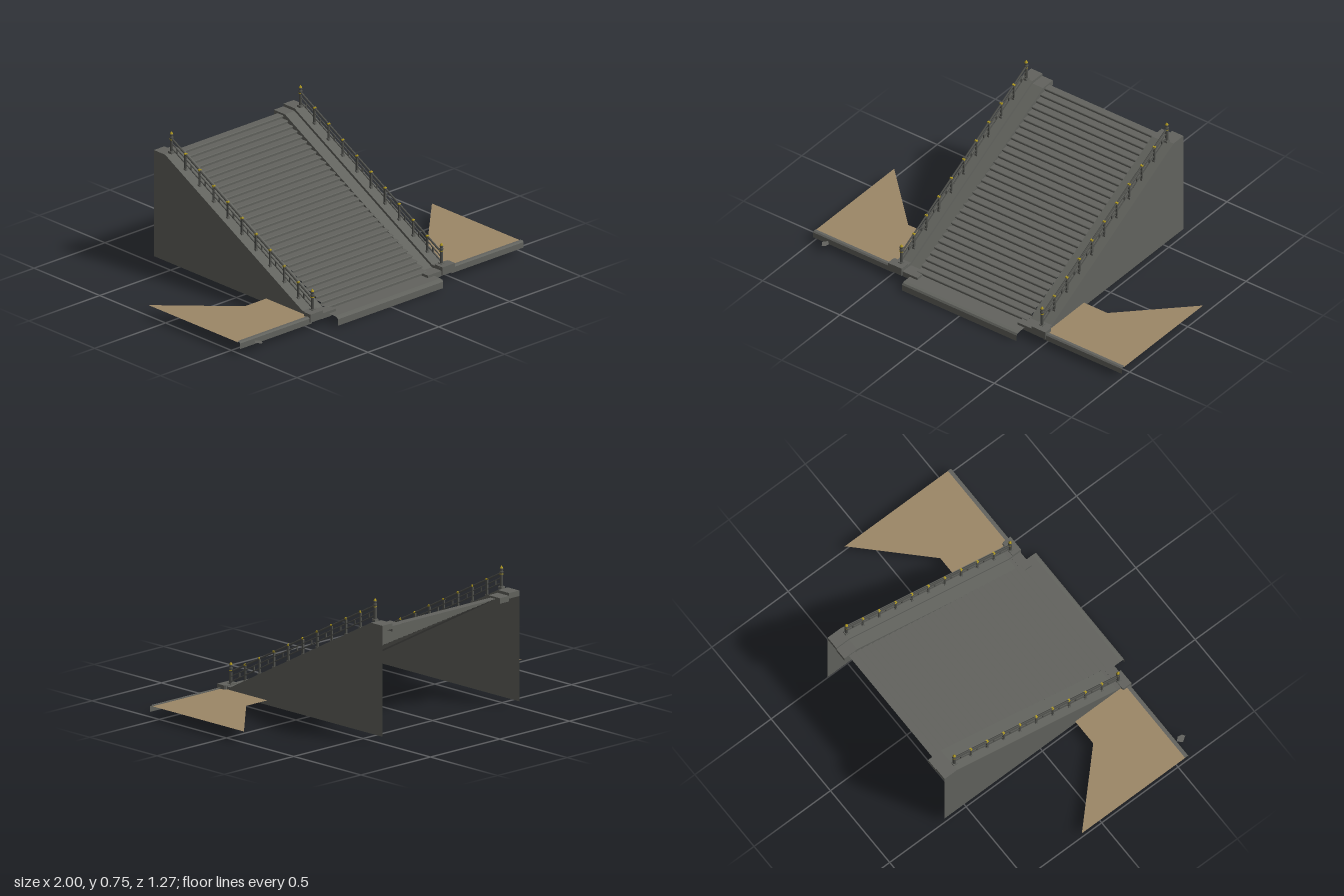
import * as THREE from 'three';

const D = THREE.DoubleSide;
const mat = (name, color, side = D) => {
  const m = new THREE.MeshStandardMaterial({ color, side });
  m.name = name;
  return m;
};

export function createModel() {
  const stone = mat('stone', 0x62635e);
  const darkMetal = mat('dark metal', 0x50514d);
  const earth = mat('earth', 0x9c8767);
  const gold = mat('gold', 0xb39c22);
  const root = new THREE.Group();
  root.name = 'staircase';

  const add = (parent, name, geo, material, x = 0, y = 0, z = 0) => {
    const m = new THREE.Mesh(geo, material);
    m.name = name;
    m.position.set(x, y, z);
    parent.add(m);
    return m;
  };
  const box = (w, h, d) => new THREE.BoxGeometry(w, h, d);
  const shapeOf = pts => new THREE.Shape(pts.map(p => new THREE.Vector2(...p)));

  // Solid with a (z, y) profile running from x0 to x1
  const prism = (pts, x0, x1) =>
    new THREE.ExtrudeGeometry(shapeOf(pts), { depth: x1 - x0, bevelEnabled: false })
      .rotateY(-Math.PI / 2).translate(x1, 0, 0);

  // Open folded sheet along a (z, y) profile running from x0 to x1
  const sheet = (pts, x0, x1) => {
    const v = [];
    for (let i = 0; i + 1 < pts.length; i++) {
      const [za, ya] = pts[i], [zb, yb] = pts[i + 1];
      v.push(x0, ya, za, x1, yb, zb, x1, ya, za, x0, ya, za, x0, yb, zb, x1, yb, zb);
    }
    const g = new THREE.BufferGeometry();
    g.setAttribute('position', new THREE.Float32BufferAttribute(v, 3));
    g.computeVertexNormals();
    return g;
  };

  // Treads and risers with a small overhanging nose
  const N = 31, z0 = 0.52, z1 = -0.605, y0 = 0.048, y1 = 0.605;
  const run = (z0 - z1) / N, rise = (y1 - y0) / N;
  const steps = [];
  for (let i = N - 1; i >= 0; i--) {
    const zf = z0 - i * run, yt = y0 + (i + 1) * rise;
    steps.push([zf - run, yt], [zf + 0.003, yt], [zf + 0.006, yt - 0.003],
      [zf + 0.006, yt - 0.008], [zf, yt - 0.009], [zf, yt - rise]);
  }
  add(root, 'steps', sheet(steps, -0.357, 0.357), stone);

  // Rounded slab in front of the first step
  add(root, 'frontSlab', sheet([[0.51, 0.048], [0.612, 0.048], [0.628, 0.045],
    [0.635, 0.036], [0.635, 0]], -0.373, 0.37), stone);

  // Height of the side coping at depth z
  const slope = 0.555 / 1.045;
  const coping = z => 0.075 + (0.495 - z) * slope;
  const band = (dy, t, zf) => [[zf, 0.075 + dy], [0.495, 0.075 + dy], [-0.55, 0.63 + dy],
    [-0.635, 0.63 + dy], [-0.635, 0.63 + dy - t], [-0.55, 0.63 + dy - t],
    [0.495, 0.075 + dy - t], [zf, 0.075 + dy - t]];

  const tube = (ya, za, yb, zb, r) => new THREE.TubeGeometry(
    new THREE.LineCurve3(new THREE.Vector3(0, ya, za), new THREE.Vector3(0, yb, zb)), 1, r, 6);
  const lathe = pts => new THREE.LatheGeometry(pts.map(p => new THREE.Vector2(...p)), 10);

  // One side of the stairs; the other is mirrored
  const makeSide = () => {
    const side = new THREE.Group();
    const wall = [[0.572, 0.035], [0.572, 0.075], [0.495, 0.075], [-0.55, 0.63],
      [-0.635, 0.63], [-0.635, 0.035]];
    add(side, 'sideWall', new THREE.ShapeGeometry(shapeOf(wall)).rotateY(-Math.PI / 2), stone, 0.493);
    add(side, 'outerCoping', prism(band(0, 0.03, 0.572), 0.42, 0.493), stone);
    add(side, 'innerCoping', prism(band(-0.015, 0.03, 0.565), 0.353, 0.42), stone);
    add(side, 'outerFoot', box(0.085, 0.045, 0.055), stone, 0.463, 0.06, 0.547);
    add(side, 'footBlock', box(0.04, 0.045, 0.05), stone, 0.49, 0.06, 0.55);
    add(side, 'innerFoot', box(0.095, 0.028, 0.055), stone, 0.372, 0.048, 0.54);

    // Railing
    const rail = new THREE.Group();
    rail.name = 'railing';
    rail.position.x = 0.455;
    side.add(rail);
    const za = 0.53, zb = -0.542;
    [[0.088, 0.0055], [0.062, 0.0035], [0.035, 0.0035]].forEach(([h, r], i) =>
      add(rail, ['handRail', 'middleRail', 'lowerRail'][i],
        tube(coping(za) + h, za, coping(zb) + h, zb, r), darkMetal));

    // End posts with gold finials
    [[za, 0.075], [zb, 0.63]].forEach(([z, y]) => {
      add(rail, 'endPostBase', box(0.024, 0.012, 0.024), stone, 0, y + 0.006, z);
      add(rail, 'endPost', lathe([[0.009, 0], [0.009, 0.085], [0.011, 0.087], [0.011, 0.092],
        [0.007, 0.095], [0.007, 0.099], [0.01, 0.104], [0.008, 0.11], [0, 0.112]]), darkMetal, 0, y, z);
      add(rail, 'finial', lathe([[0.0085, 0.106], [0.0085, 0.111], [0.005, 0.117], [0, 0.124]]), gold, 0, y, z);
      add(rail, 'postBand', lathe([[0.0095, 0.076], [0.0095, 0.081]]), gold, 0, y, z);
    });

    // Slim posts with gold collars, and short struts between the lower rails
    const gap = (za - zb) / 10;
    for (let i = 0; i < 10; i++) {
      const z = za - i * gap;
      if (i > 0) {
        const y = coping(z);
        add(rail, 'post', box(0.01, 0.095, 0.01), darkMetal, 0, y + 0.042, z);
        add(rail, 'postFoot', box(0.016, 0.012, 0.014), stone, 0, y + 0.003, z);
        add(rail, 'collar', box(0.013, 0.008, 0.013), gold, 0, y + 0.09, z);
      }
      const zs = z - gap * 0.6;
      add(rail, 'strut', box(0.006, 0.027, 0.006), darkMetal, 0, coping(zs) + 0.0485, zs);
    }

    // Ground plate and its kerb
    const plot = [[0.493, -0.22], [0.645, -0.22], [1, 0.13], [1, -0.55], [0.493, -0.55]];
    add(side, 'groundPlate', new THREE.ShapeGeometry(shapeOf(plot)).rotateX(-Math.PI / 2), earth, 0, 0.06, 0);
    add(side, 'kerb', sheet([[0.545, 0.065], [0.56, 0.065], [0.567, 0.058], [0.567, 0.027]], 0.493, 1), stone);
    return side;
  };
  const left = makeSide(), right = makeSide();
  left.name = 'leftSide';
  right.name = 'rightSide';
  right.scale.x = -1;
  root.add(left, right);

  // Loose stone chip lying before the kerb
  const chip = [[-0.92, -0.595], [-0.9, -0.57], [-0.88, -0.59], [-0.885, -0.615], [-0.9, -0.625]];
  add(root, 'stoneChip', new THREE.ShapeGeometry(shapeOf(chip)).rotateX(-Math.PI / 2), stone, 0, 0.048, 0);

  return root;
}
